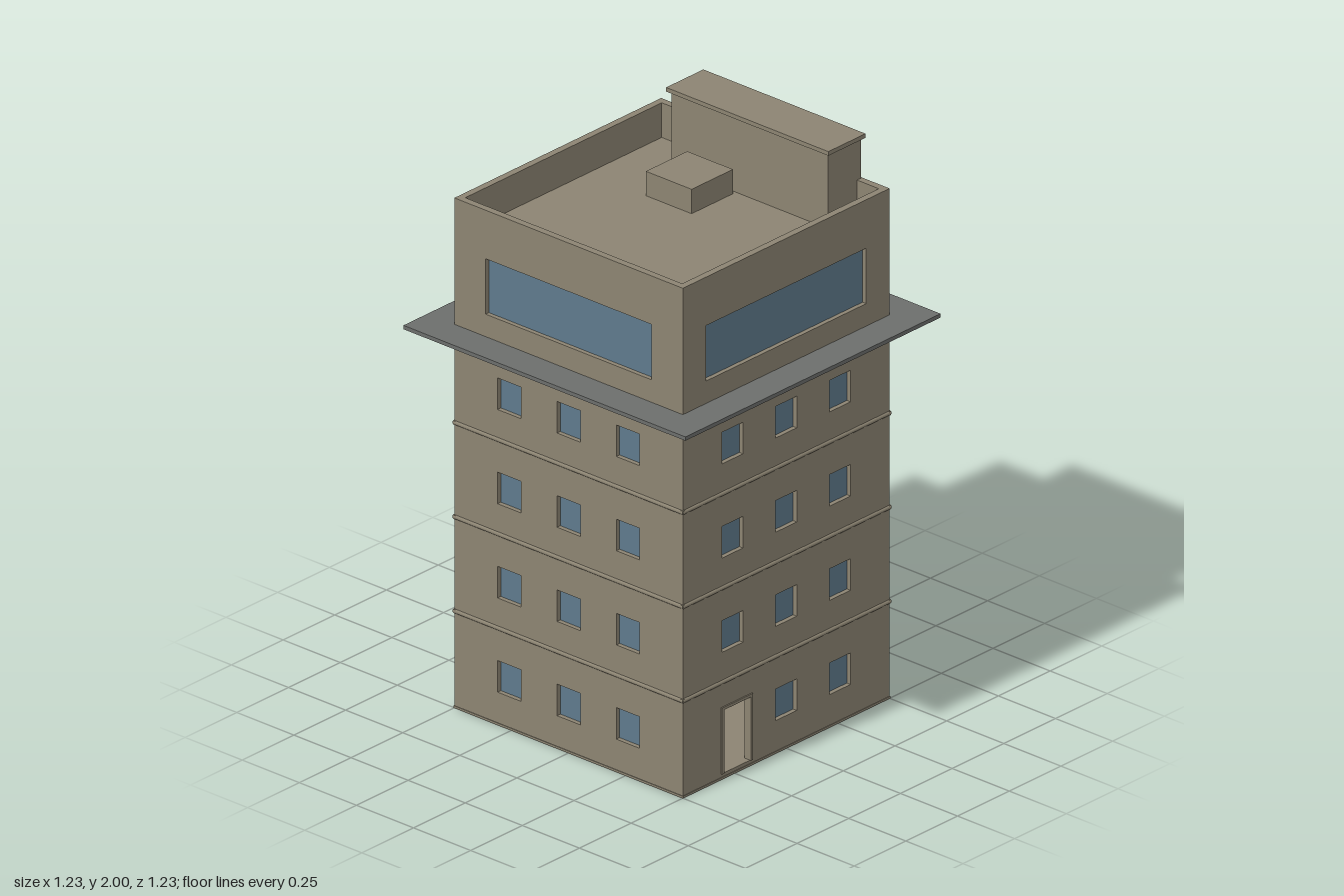
import * as THREE from 'three';

const HALF = 0.5, WALL = 0.025, TOP = 1.84, ROOF = 1.715;

function material(name, color) {
  const m = new THREE.MeshStandardMaterial({ color });
  m.name = name;
  return m;
}

export function createModel() {
  const model = new THREE.Group();
  model.name = 'towerBlock';
  const plaster = material('plaster', 0x8c8472);
  const glass = material('glass', 0x5f7a8c);
  const slate = material('canopyGrey', 0x6c6e6c);

  // Box given by its extents on each axis
  function box(name, mat, [x0, x1], [y0, y1], [z0, z1], parent = model) {
    const mesh = new THREE.Mesh(new THREE.BoxGeometry(x1 - x0, y1 - y0, z1 - z0), mat);
    mesh.position.set((x0 + x1) / 2, (y0 + y1) / 2, (z0 + z1) / 2);
    mesh.name = name;
    parent.add(mesh);
    return mesh;
  }

  function rectHole(x0, x1, y0, y1) {
    const p = new THREE.Path();
    p.moveTo(x0, y0);
    p.lineTo(x0, y1);
    p.lineTo(x1, y1);
    p.lineTo(x1, y0);
    p.closePath();
    return p;
  }

  // One facade, built facing +z and turned into place; doorX is null where there is no door
  function facade(name, angle, halfWidth, doorX, bigHalf) {
    const side = new THREE.Group();
    side.name = name;
    const shape = new THREE.Shape();
    shape.moveTo(-halfWidth, 0);
    shape.lineTo(halfWidth, 0);
    shape.lineTo(halfWidth, TOP);
    shape.lineTo(-halfWidth, TOP);
    shape.closePath();

    const openings = [[-bigHalf, bigHalf, 1.465, 1.665]];
    for (let floor = 0; floor < 4; floor++) {
      for (const x of [-0.26, 0, 0.26]) {
        if (floor === 0 && doorX !== null && Math.sign(x) === Math.sign(doorX)) continue;
        const y = 0.175 + floor * 0.34;
        openings.push([x - 0.051, x + 0.051, y - 0.057, y + 0.057]);
      }
    }
    // Recessed panes
    for (const [x0, x1, y0, y1] of openings) {
      shape.holes.push(rectHole(x0, x1, y0, y1));
      box('windowPane', glass, [x0, x1], [y0, y1], [HALF - WALL + 0.002, HALF - 0.016], side);
    }
    // Doorway and its raised trim
    if (doorX !== null) {
      const x0 = doorX - 0.065, x1 = doorX + 0.065;
      shape.holes.push(rectHole(x0, x1, 0.02, 0.25));
      const z = [HALF - 0.01, HALF + 0.005];
      box('doorTrim', plaster, [x0 - 0.01, x0], [0.02, 0.25], z, side);
      box('doorTrim', plaster, [x1, x1 + 0.01], [0.02, 0.25], z, side);
      box('doorTrim', plaster, [x0 - 0.01, x1 + 0.01], [0.25, 0.26], z, side);
    }
    const wall = new THREE.Mesh(
      new THREE.ExtrudeGeometry(shape, { depth: WALL, bevelEnabled: false }), plaster);
    wall.position.z = HALF - WALL;
    wall.name = 'wall';
    side.add(wall);

    // Rounded string courses between the storeys
    for (const y of [0.35, 0.69, 1.03, 1.362]) {
      const band = new THREE.Mesh(new THREE.CylinderGeometry(0.008, 0.008, 1.006, 12), plaster);
      band.rotation.z = Math.PI / 2;
      band.position.set(0, y, HALF - 0.002);
      band.name = 'stringCourse';
      side.add(band);
    }
    side.rotation.y = angle;
    model.add(side);
  }

  facade('frontFacade', 0, HALF, -0.24, 0.387);
  facade('leftFacade', Math.PI / 2, HALF - WALL, null, 0.363);
  facade('backFacade', Math.PI, HALF, 0.24, 0.387);
  facade('rightFacade', -Math.PI / 2, HALF - WALL, null, 0.363);

  // Floors inside the walls, base and roof deck
  const inner = [-HALF + WALL, HALF - WALL];
  box('base', plaster, [-0.502, 0.502], [0, 0.008], [-0.502, 0.502]);
  box('groundFloor', plaster, inner, [0.004, 0.02], inner);
  for (const y of [0.35, 0.69, 1.03]) box('storeyFloor', plaster, inner, [y - 0.01, y + 0.01], inner);
  box('roofDeck', plaster, inner, [ROOF - 0.02, ROOF], inner);

  // Projecting canopy
  box('canopy', slate, [-0.617, 0.617], [1.37, 1.384], [-0.617, 0.617]);

  // Stair house, open at the back
  const stair = new THREE.Group();
  stair.name = 'stairHouse';
  model.add(stair);
  const height = [ROOF, 1.985];
  box('innerWall', plaster, [0.335, 0.355], height, [-0.305, 0.38], stair);
  box('outerWall', plaster, [0.473, 0.494], height, [-0.305, 0.38], stair);
  box('endWall', plaster, [0.355, 0.473], height, [0.36, 0.38], stair);
  box('lintel', plaster, [0.355, 0.473], [1.96, 1.985], [-0.305, -0.285], stair);
  box('stairRoof', plaster, [0.325, 0.505], [1.985, 2], [-0.32, 0.39], stair);

  // Plant box on the roof
  box('roofBox', plaster, [0.12, 0.32], [ROOF, 1.803], [-0.223, -0.023]);

  return model;
}
